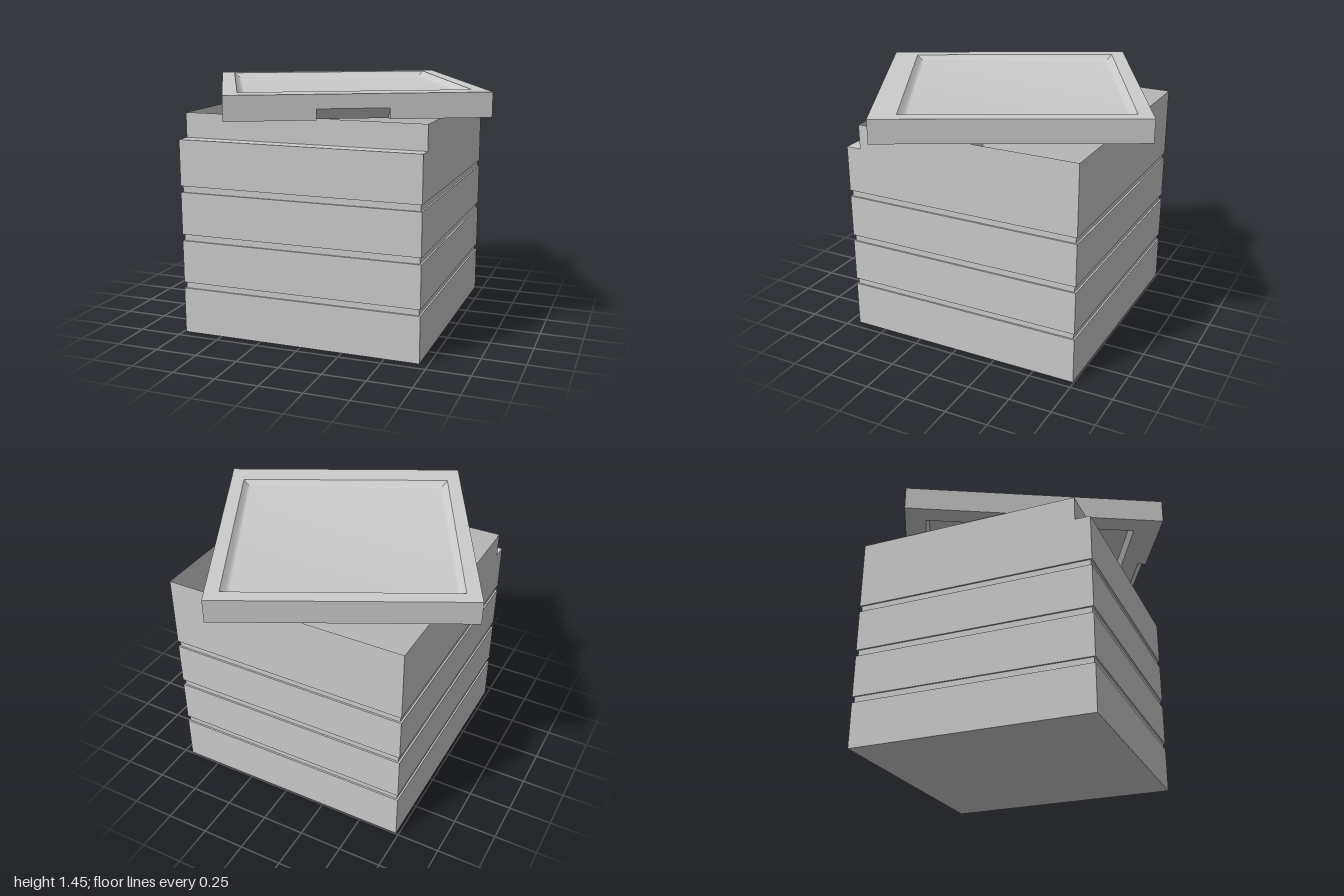
import * as THREE from 'three';
import { toCreasedNormals } from 'three/addons/utils/BufferGeometryUtils.js';

const material = new THREE.MeshStandardMaterial({ color: 0xcccccc });

// Skin a stack of rectangles [x0, x1, z0, z1, y], closing both ends
function rectLoft(rings, crease = 0.5) {
  const corners = ([x0, x1, z0, z1, y]) => [[x0, y, z1], [x1, y, z1], [x1, y, z0], [x0, y, z0]];
  const pos = [];
  const quad = (a, b, c, d) => pos.push(...a, ...b, ...c, ...a, ...c, ...d);
  const loops = rings.map(corners);
  for (let r = 0; r + 1 < loops.length; r++) {
    const a = loops[r], b = loops[r + 1];
    for (let i = 0; i < 4; i++) {
      const j = (i + 1) % 4;
      quad(a[i], a[j], b[j], b[i]);
    }
  }
  const s = loops[0];
  quad(s[3], s[2], s[1], s[0]);
  quad(...loops[loops.length - 1]);
  const geo = new THREE.BufferGeometry();
  geo.setAttribute('position', new THREE.Float32BufferAttribute(pos, 3));
  geo.computeVertexNormals();
  return toCreasedNormals(geo, crease);
}

function add(parent, name, geo, x = 0, y = 0, z = 0) {
  const mesh = new THREE.Mesh(geo, material);
  mesh.name = name;
  mesh.position.set(x, y, z);
  parent.add(mesh);
  return mesh;
}

// Hollow body: grooved outside, stepped front, tapered inside
function crateBody() {
  const X0 = -0.735, X1 = 0.7, Z0 = -0.745, Z1 = 0.69;
  const ring = (y, inset = 0, front = Z1) => [X0 + inset, X1 - inset, Z0 + inset, front - inset, y];
  const rings = [ring(0)];
  for (const [lo, hi] of [[0.272, 0.308], [0.56, 0.598], [0.848, 0.885]]) {
    rings.push(ring(lo), ring(lo, 0.01), ring(hi, 0.01), ring(hi));
  }
  rings.push(ring(1.155), ring(1.155, 0, 0.6), ring(1.3, 0, 0.6), ring(0.04, 0.042, 0.6));
  return rectLoft(rings);
}

// Turned lid with a soft recess on top, a hollow below and a finger notch in front
function crateLid() {
  const lid = new THREE.Group();
  lid.name = 'lid';
  const W = 0.718, D = 0.75, lo = 1.315, hi = 1.452, strip = 0.05;
  const back = D - strip;
  const rings = [
    [-0.58, 0.58, -0.61, 0.58, lo + 0.045],
    [-0.6, 0.6, -0.63, 0.6, lo],
    [-W, W, -D, back, lo],
    [-W, W, -D, back, hi],
  ];
  const steps = 6;
  for (let i = 0; i <= steps; i++) {
    const t = i / steps, inset = 0.05 * t;
    const y = hi - 0.03 * Math.sin(t * Math.PI / 2);
    rings.push([-0.638 + inset, 0.638 - inset, -0.668 + inset, 0.602 - inset, y]);
  }
  add(lid, 'lidPanel', rectLoft(rings, 0.6));

  // Front strip on both sides of the notch
  const n0 = -0.228, n1 = 0.163;
  for (const [a, b, name] of [[-W, n0, 'lidFrontRight'], [n1, W, 'lidFrontLeft']]) {
    add(lid, name, new THREE.BoxGeometry(b - a, hi - lo, strip), (a + b) / 2, (lo + hi) / 2, back + strip / 2);
  }
  // Sloped piece over the notch, profile drawn in (-z, y)
  const shape = new THREE.Shape([[0, lo], [0, hi], [-strip, hi], [-strip, lo + 0.06]]
    .map(([x, y]) => new THREE.Vector2(x, y)));
  const wedge = new THREE.ExtrudeGeometry(shape, { depth: n1 - n0, bevelEnabled: false });
  wedge.rotateY(Math.PI / 2);
  add(lid, 'fingerNotch', wedge, n0, 0, back);

  lid.rotation.y = THREE.MathUtils.degToRad(27.3);
  return lid;
}

export function createModel() {
  const model = new THREE.Group();
  model.name = 'crate';
  add(model, 'crateBody', crateBody());
  model.add(crateLid());
  return model;
}
